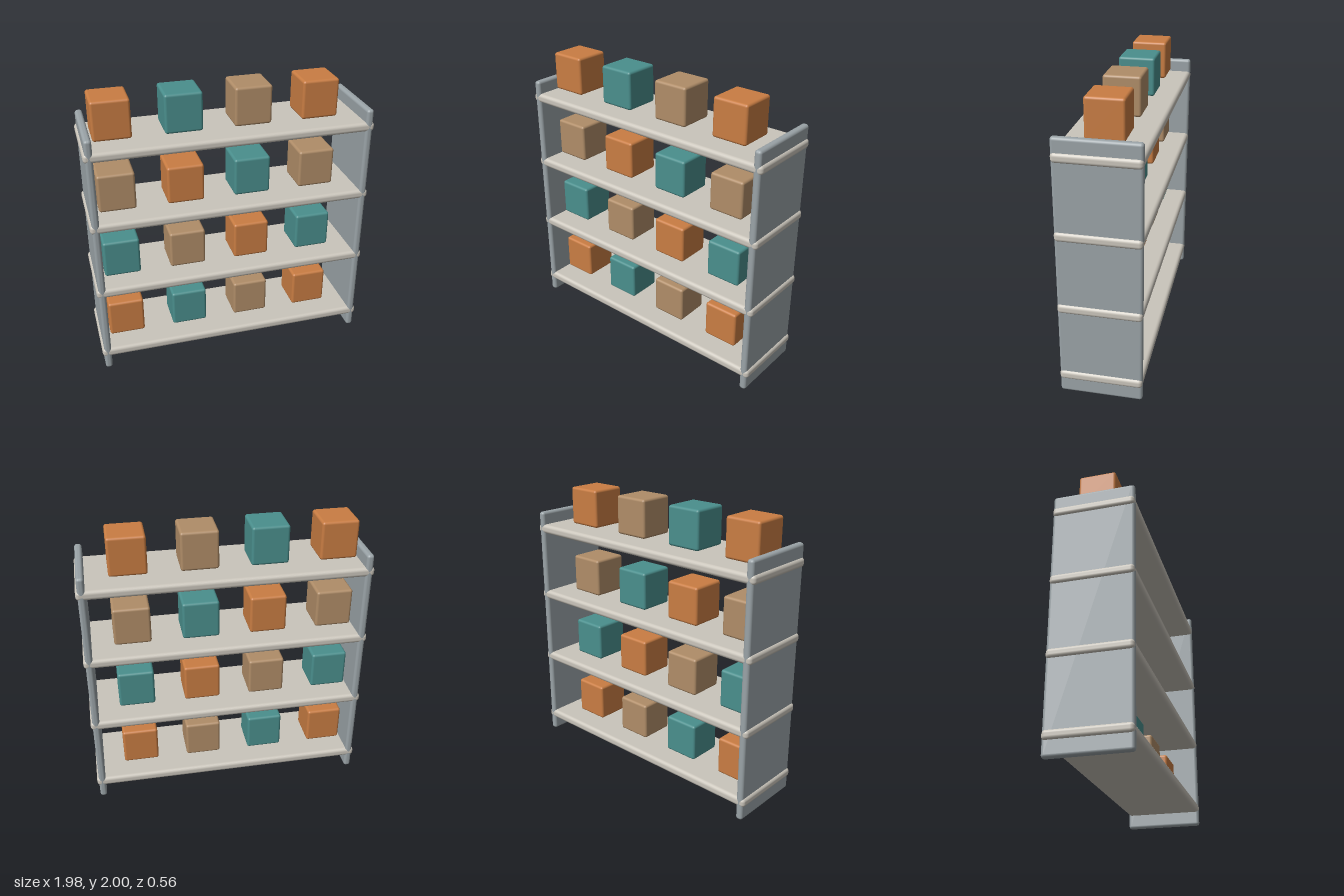
import * as THREE from 'three';
import { RoundedBoxGeometry } from 'three/addons/geometries/RoundedBoxGeometry.js';

const paint = (name, color) => {
  const m = new THREE.MeshStandardMaterial({ color });
  m.name = name;
  return m;
};

export function createModel() {
  const model = new THREE.Group();
  model.name = 'shelvingUnit';

  const steel = paint('steelGrey', 0x9aa3a7);
  const board = paint('paleGrey', 0xcac5bb);
  const orange = paint('orange', 0xc97d43);
  const teal = paint('teal', 0x4a8f8d);
  const tan = paint('tan', 0xb08d68);

  const add = (name, geometry, material, x, y, z = 0) => {
    const mesh = new THREE.Mesh(geometry, material);
    mesh.name = name;
    mesh.position.set(x, y, z);
    model.add(mesh);
  };

  // Side panels
  const panel = new RoundedBoxGeometry(0.05, 1.81, 0.557, 3, 0.02);
  add('leftPanel', panel, steel, 0.95, 0.905);
  add('rightPanel', panel, steel, -0.95, 0.905);

  // Boxes on each shelf, bottom row first, from -x to +x
  const rows = [
    [orange, teal, tan, orange],
    [teal, tan, orange, teal],
    [tan, orange, teal, tan],
    [orange, teal, tan, orange],
  ];
  const shelf = new RoundedBoxGeometry(1.977, 0.066, 0.557, 3, 0.025);
  const crate = new RoundedBoxGeometry(0.257, 0.271, 0.257, 3, 0.018);

  rows.forEach((row, r) => {
    const y = 0.135 + r * 0.5165;
    add(`shelf${r + 1}`, shelf, board, 0, y);
    row.forEach((material, c) => {
      add(`box${r + 1}_${c + 1}`, crate, material, -0.778 + c * 0.473, y + 0.18);
    });
  });

  return model;
}
